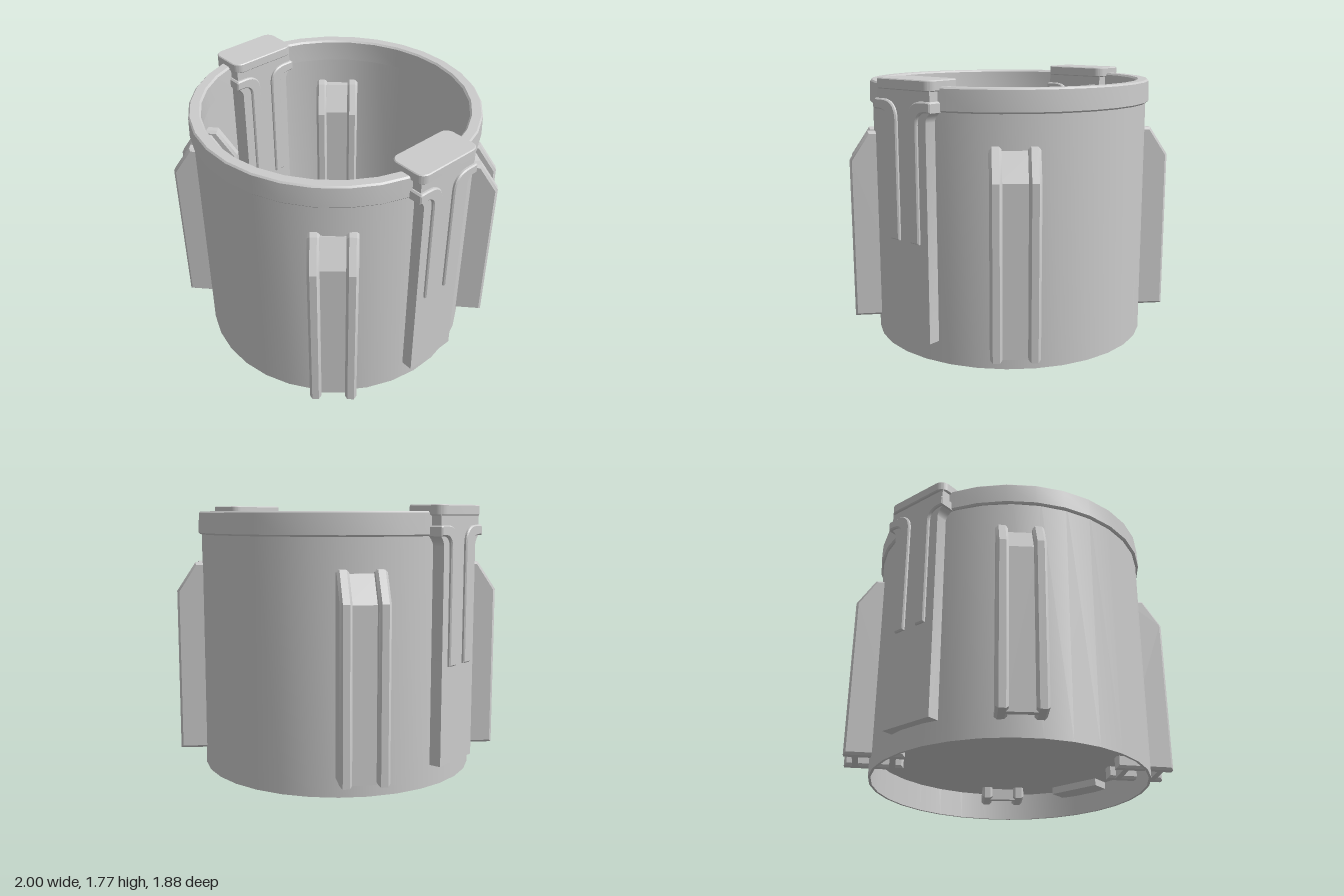
import * as THREE from 'three';
import { toCreasedNormals } from 'three/addons/utils/BufferGeometryUtils.js';

const grey = new THREE.MeshStandardMaterial({ color: 0xcccccc });
const greyThin = new THREE.MeshStandardMaterial({ color: 0xcccccc, side: THREE.DoubleSide });
const rad = THREE.MathUtils.degToRad;
const SIDES = 32;
const CLIP_X = 0.8675; // clips and pads straddle the wall

function add(parent, name, geometry, material = grey) {
  const mesh = new THREE.Mesh(geometry, material);
  mesh.name = name;
  parent.add(mesh);
  return mesh;
}

function polygon(points) {
  return new THREE.Shape(points.map(([x, y]) => new THREE.Vector2(x, y)));
}

// Extrusion centred on its depth, with the bevel kept inside the outline
function slab(shape, depth, bevel = 0) {
  const geo = new THREE.ExtrudeGeometry(shape, {
    depth: depth - 2 * bevel, curveSegments: 8, bevelEnabled: bevel > 0,
    bevelThickness: bevel, bevelSize: bevel, bevelOffset: -bevel, bevelSegments: 1,
  });
  geo.translate(0, 0, bevel - depth / 2);
  return toCreasedNormals(geo, 0.5);
}

function lathe(points, segments, start, length) {
  const pts = points.map(([x, y]) => new THREE.Vector2(x, y));
  return toCreasedNormals(new THREE.LatheGeometry(pts, segments, start, length), 0.5);
}

// Rim band on one half, open where the side clips sit
function rimHalf() {
  const half = new THREE.Group();
  half.name = 'rimHalf';
  const profile = [[0.862, 1.58], [0.936, 1.58], [0.946, 1.59], [0.942, 1.72], [0.932, 1.73],
    [0.874, 1.73], [0.862, 1.718]];
  const reach = rad(76);
  add(half, 'rimBand', lathe([...profile, profile[0]], 13, -reach, 2 * reach));
  for (const s of [-1, 1]) {
    const end = add(half, 'rimEnd', new THREE.ShapeGeometry(polygon(profile)), greyThin);
    end.rotation.y = s * reach - Math.PI / 2;
  }
  return half;
}

// Side clip: shapes are drawn in (width, height) and extruded through the wall
function sideClip() {
  const clip = new THREE.Group();
  clip.name = 'sideClip';

  const body = new THREE.Shape();
  body.moveTo(-0.19, 0.14);
  body.lineTo(0.19, 0.14);
  body.lineTo(0.19, 1.52);
  body.quadraticCurveTo(0.195, 1.55, 0.228, 1.58);
  body.lineTo(0.228, 1.71);
  body.lineTo(-0.228, 1.71);
  body.lineTo(-0.228, 1.58);
  body.quadraticCurveTo(-0.195, 1.55, -0.19, 1.52);
  add(clip, 'clipBody', slab(body, 0.225));

  // Hooked ribs that run down and turn outward at the top
  for (const s of [-1, 1]) {
    const rib = new THREE.Shape();
    rib.moveTo(s * 0.05, 0.77);
    rib.lineTo(s * 0.125, 0.77);
    rib.lineTo(s * 0.125, 1.5);
    rib.quadraticCurveTo(s * 0.125, 1.58, s * 0.205, 1.58);
    rib.lineTo(s * 0.245, 1.58);
    rib.lineTo(s * 0.245, 1.635);
    rib.lineTo(s * 0.235, 1.645);
    rib.lineTo(s * 0.17, 1.645);
    rib.quadraticCurveTo(s * 0.05, 1.645, s * 0.05, 1.52);
    add(clip, 'hookedRib', slab(rib, 0.265, 0.008));
  }

  // Rounded cap lying flat on top
  const w = 0.2425, d = 0.1325, r = 0.06;
  const cap = new THREE.Shape();
  cap.absarc(w - r, d - r, r, 0, Math.PI / 2);
  cap.absarc(r - w, d - r, r, Math.PI / 2, Math.PI);
  cap.absarc(r - w, r - d, r, Math.PI, Math.PI * 1.5);
  cap.absarc(w - r, r - d, r, Math.PI * 1.5, Math.PI * 2);
  const capMesh = add(clip, 'clipCap', slab(cap, 0.066, 0.006));
  capMesh.rotation.x = -Math.PI / 2;
  capMesh.position.y = 1.737;
  return clip;
}

// Ribbed pad showing on both faces of the wall; local +x points outward
function ribbedPad() {
  const pad = new THREE.Group();
  pad.name = 'ribbedPad';
  const mid = 0.895;
  const side = polygon([[-0.195, 0.11], [0.195, 0.11], [0.195, 1.2], [0.07, 1.39],
    [-0.07, 1.39], [-0.195, 1.2]]);
  // Openings keep the ribs and panels hollow beside the wall
  for (const s of [-1, 1]) {
    add(pad, 'padRib', slab(side, 0.075, 0.016)).position.set(mid, 0, s * 0.115);
    const panel = polygon([[s * 0.1, 0.11], [s * 0.14, 0.11], [s * 0.14, 1.19],
      [s * 0.03, 1.365], [s * -0.01, 1.365], [s * 0.1, 1.18]]);
    add(pad, 'padPanel', slab(panel, 0.2)).position.x = mid;
  }
  return pad;
}

export function createModel() {
  const model = new THREE.Group();
  model.name = 'clippedDrum';

  // Thin drum wall and raised floor
  const wall = [[0.91, 0], [0.926, 0], [0.926, 1.7], [0.91, 1.7], [0.91, 0]];
  const halfStep = Math.PI / SIDES;
  add(model, 'drumWall', lathe(wall, SIDES, halfStep, Math.PI * 2));
  const floor = new THREE.CylinderGeometry(0.915, 0.915, 0.02, SIDES, 1, false, halfStep);
  add(model, 'drumFloor', floor).position.y = 0.2;

  // Front and back rim halves
  for (const turn of [0, Math.PI]) {
    const half = rimHalf();
    half.rotation.y = turn;
    model.add(half);
  }

  // Left and right clips
  for (const s of [-1, 1]) {
    const clip = sideClip();
    clip.rotation.y = s * Math.PI / 2;
    clip.position.x = s * CLIP_X;
    model.add(clip);
  }

  // Four diagonal pads
  for (const angle of [42.5, 137.5, 222.5, 317.5]) {
    const pad = ribbedPad();
    pad.rotation.y = rad(angle);
    model.add(pad);
  }
  return model;
}
